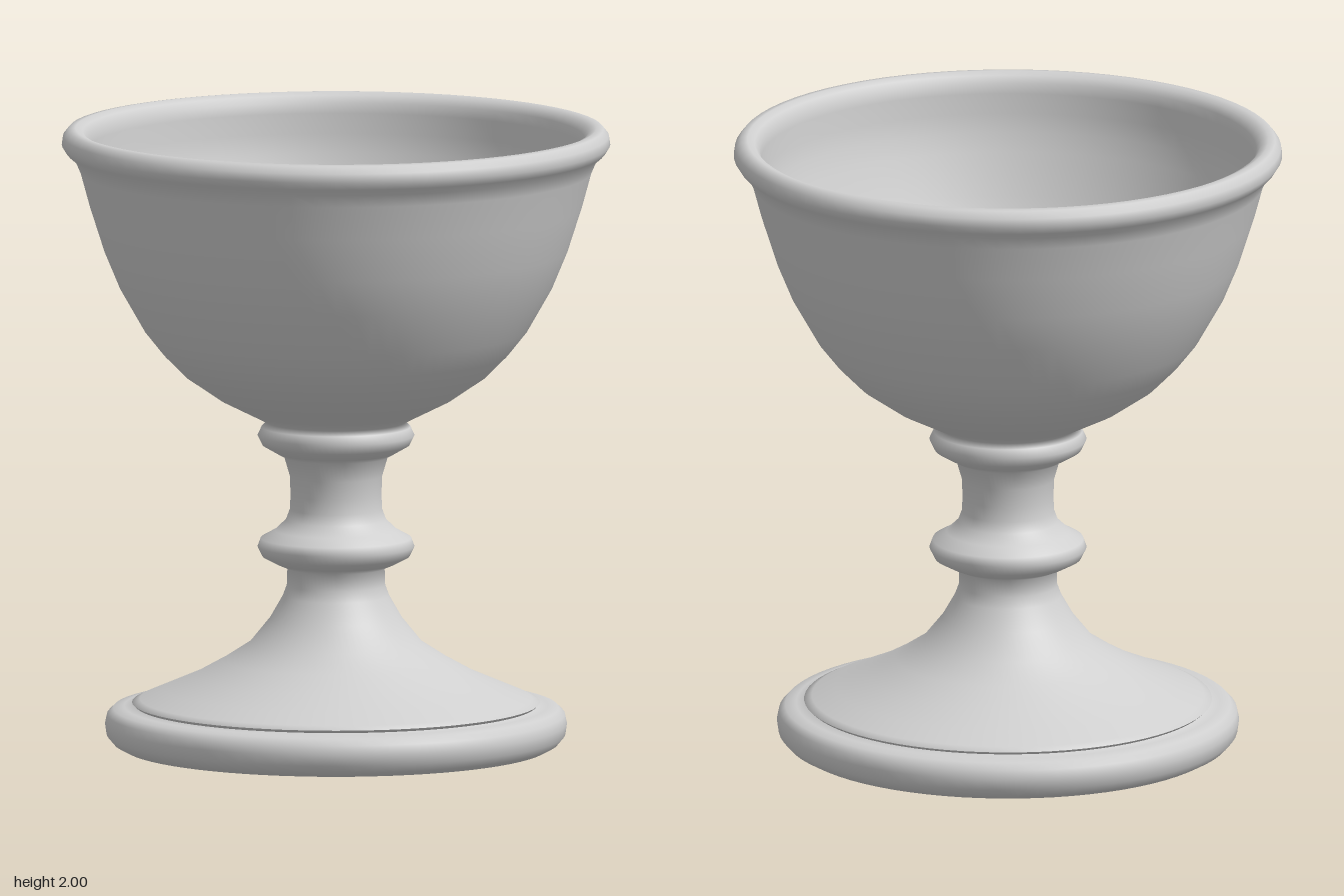
import * as THREE from 'three';

const SEGMENTS = 72;

// Outline of each part as [radius, height]; each part starts where the last one ends
const PARTS = {
  footUnderside: [[0, 0], [0.58, 0], [0.625, 0.001]],
  footRim: [
    [0.68, 0.009], [0.71, 0.025], [0.731, 0.05], [0.736, 0.085], [0.73, 0.115],
    [0.71, 0.135], [0.675, 0.141], [0.64, 0.144],
  ],
  footCone: [
    [0.65, 0.153], [0.625, 0.165], [0.55, 0.197], [0.45, 0.24], [0.36, 0.29],
    [0.275, 0.345], [0.21, 0.425], [0.17, 0.495], [0.157, 0.53], [0.155, 0.585],
  ],
  lowerBead: [
    [0.19, 0.6], [0.235, 0.624], [0.25, 0.655], [0.24, 0.682],
    [0.195, 0.707], [0.16, 0.74], [0.147, 0.775],
  ],
  stem: [[0.145, 0.82], [0.147, 0.88], [0.165, 0.942]],
  upperBead: [[0.19, 0.956], [0.235, 0.982], [0.25, 1.013], [0.237, 1.04], [0.222, 1.056]],
  bowlOutside: [
    [0.28, 1.085], [0.37, 1.13], [0.48, 1.205], [0.55, 1.275], [0.61, 1.35],
    [0.69, 1.49], [0.74, 1.61], [0.785, 1.75], [0.815, 1.86], [0.832, 1.9],
  ],
  bowlRim: [
    [0.858, 1.922], [0.874, 1.947], [0.87, 1.975], [0.852, 1.997],
    [0.83, 2], [0.807, 1.99], [0.792, 1.968], [0.787, 1.935],
  ],
  bowlInside: [
    [0.785, 1.87], [0.775, 1.81], [0.758, 1.75], [0.715, 1.615], [0.667, 1.505], [0.588, 1.367],
    [0.532, 1.295], [0.463, 1.225], [0.36, 1.153], [0.27, 1.107], [0.18, 1.07], [0.09, 1.05], [0, 1.043],
  ],
};

export function createModel() {
  const group = new THREE.Group();
  group.name = 'goblet';

  const grey = new THREE.MeshStandardMaterial({ color: 0xcfcfcf });
  grey.name = 'plain grey';

  // The whole outline is turned at once so that shading flows smoothly between parts
  const outline = Object.values(PARTS).flat().map(([r, y]) => new THREE.Vector2(r, y));
  const turned = new THREE.LatheGeometry(outline, SEGMENTS);
  const faces = Array.from(turned.index.array);
  const facesPerSegment = (outline.length - 1) * 6;

  // Each part takes its own bands of the turned surface
  let start = 0;
  for (const [name, points] of Object.entries(PARTS)) {
    const end = start + points.length - (start === 0 ? 1 : 0);
    const geometry = new THREE.BufferGeometry();
    geometry.setAttribute('position', turned.attributes.position);
    geometry.setAttribute('normal', turned.attributes.normal);
    geometry.setIndex(faces.filter((_, i) => {
      const band = Math.floor((i % facesPerSegment) / 6);
      return band >= start && band < end;
    }));
    const mesh = new THREE.Mesh(geometry, grey);
    mesh.name = name;
    group.add(mesh);
    start = end;
  }

  return group;
}
